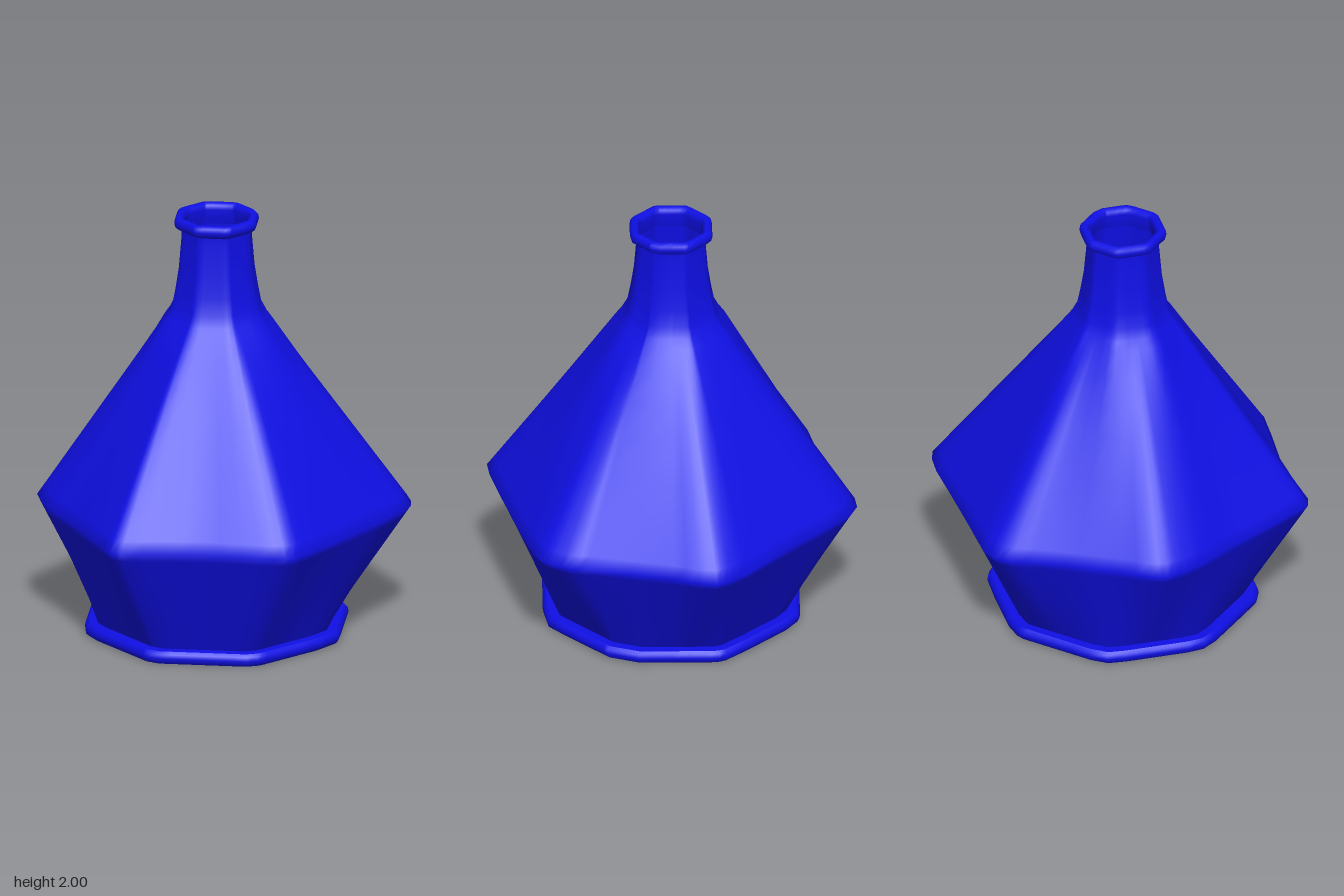
import * as THREE from 'three';

// Widest outline of the body as x, z pairs (a lopsided, rounded hexagon), clockwise from above
const girth = [
  -0.2, -0.87, -0.12, -0.86, 0, -0.82, 0.4, -0.725, 0.48, -0.72, 0.56, -0.68, 0.61, -0.64, 0.65, -0.57,
  0.72, -0.33, 0.8, -0.02, 0.84, 0.15, 0.85, 0.24, 0.81, 0.31, 0.69, 0.42, 0.54, 0.55, 0.42, 0.69,
  0.31, 0.83, 0.26, 0.86, 0.18, 0.84, 0, 0.79, -0.2, 0.73, -0.4, 0.69, -0.51, 0.65, -0.59, 0.605,
  -0.63, 0.535, -0.66, 0.4, -0.72, 0.2, -0.79, 0, -0.84, -0.09, -0.85, -0.17, -0.82, -0.24,
  -0.77, -0.3, -0.6, -0.48, -0.34, -0.77, -0.26, -0.84,
];

// Outline points plus their midpoints
const columns = [];
for (let i = 0; i < girth.length; i += 2) {
  const k = (i + 2) % girth.length;
  const a = new THREE.Vector2(girth[i], girth[i + 1]);
  const b = new THREE.Vector2(girth[k], girth[k + 1]);
  columns.push(a, a.clone().lerp(b, 0.5));
}

// Soft octagon with flats on the axes, slightly off centre
function octagon(angle, apothem) {
  const step = Math.PI / 4;
  const d = angle - Math.round(angle / step) * step;
  const r = apothem * Math.min(1 / Math.cos(d), 1.06);
  return new THREE.Vector2(0.005 + r * Math.cos(angle), 0.022 + r * Math.sin(angle));
}

// Skin rows of [y, octagon apothem, share of the girth outline]; repeated rows make a crease
function loft(rows) {
  const n = columns.length, positions = [], index = [];
  for (const [y, apothem, share = 0] of rows) {
    for (const c of columns) {
      const p = octagon(c.angle(), apothem).lerp(c, share);
      positions.push(p.x, y, p.y);
    }
  }
  for (let j = 0; j < rows.length - 1; j++) {
    if (rows[j].join() === rows[j + 1].join()) continue;
    for (let i = 0; i < n; i++) {
      const a = j * n + i, b = j * n + (i + 1) % n;
      index.push(b, a, a + n, b, a + n, b + n);
    }
  }
  const g = new THREE.BufferGeometry();
  g.setAttribute('position', new THREE.Float32BufferAttribute(positions, 3));
  g.setIndex(index);
  g.computeVertexNormals();
  return g;
}

export function createModel() {
  const group = new THREE.Group();
  const glass = new THREE.MeshStandardMaterial({ color: 0x0f0fe6, side: THREE.DoubleSide });
  const add = (name, rows) => {
    const mesh = new THREE.Mesh(loft(rows), glass);
    mesh.name = name;
    group.add(mesh);
  };

  // Flat foot with a rounded rim
  add('foot', [
    [0, 0], [0, 0.575], [0, 0.575], [0.012, 0.588], [0.03, 0.592], [0.048, 0.588],
    [0.06, 0.575], [0.06, 0.575], [0.06, 0],
  ]);

  // Body swelling to the girth, then narrowing through the shoulder into the neck
  const body = [];
  for (const t of [0, 0.25, 0.5, 0.75, 0.92, 1]) body.push([0.06 + 0.54 * t, 0.535, t]);
  for (const t of [0.06, 0.2, 0.4, 0.6, 0.75, 0.88, 1]) body.push([0.6 + 0.88 * t, 0.252, 1 - t]);
  body.push([1.52, 0.225], [1.57, 0.2], [1.65, 0.185], [1.75, 0.17], [1.9, 0.158], [1.95, 0.16]);
  add('body', body);

  // Rolled lip around the open mouth
  add('lip', [
    [1.935, 0.158], [1.945, 0.175], [1.955, 0.186], [1.972, 0.19], [1.99, 0.187], [2, 0.177],
    [2, 0.16], [1.99, 0.148], [1.97, 0.145], [1.93, 0.15], [1.9, 0.157],
  ]);

  return group;
}
